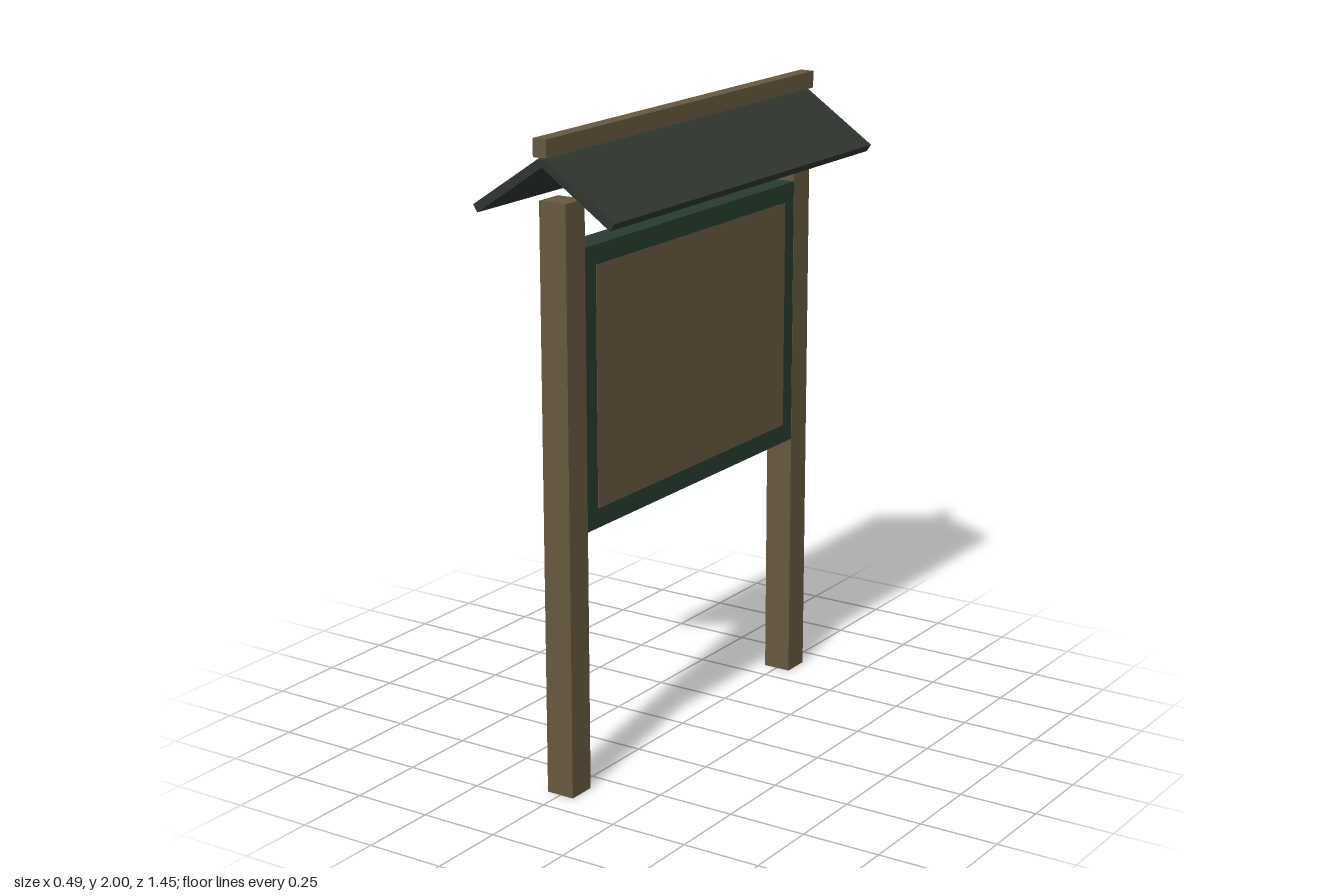
import * as THREE from 'three';

export function createModel() {
  const model = new THREE.Group();
  model.name = 'noticeBoard';

  const material = (name, color) => {
    const m = new THREE.MeshStandardMaterial({ color });
    m.name = name;
    return m;
  };
  const wood = material('brown wood', 0x67583f);
  const green = material('dark green paint', 0x253d30);
  const roofing = material('dark roofing', 0x2e3630);

  const add = (name, geometry, mat, x = 0, y = 0, z = 0) => {
    const mesh = new THREE.Mesh(geometry, mat);
    mesh.name = name;
    mesh.position.set(x, y, z);
    model.add(mesh);
  };

  // Two square posts, one at each end
  for (const [name, s] of [['frontPost', 1], ['backPost', -1]]) {
    add(name, new THREE.BoxGeometry(0.092, 1.81, 0.092), wood, 0, 0.905, s * 0.62);
  }

  // Board between the posts, with a pin panel on its +x face
  add('board', new THREE.BoxGeometry(0.09, 0.855, 1.15), green, 0, 1.24, 0);
  add('pinPanel', new THREE.BoxGeometry(0.004, 0.735, 1.04), wood, 0.0445, 1.24, 0);

  // Gabled roof: a chevron section run along z
  const section = new THREE.Shape([
    [0, 1.949], [-0.245, 1.785], [-0.23, 1.763],
    [0, 1.917], [0.23, 1.763], [0.245, 1.785],
  ].map(([x, y]) => new THREE.Vector2(x, y)));
  const roof = new THREE.ExtrudeGeometry(section, { depth: 1.426, bevelEnabled: false });
  roof.translate(0, 0, -0.713);
  add('roof', roof, roofing);

  // Ridge beam along the top
  add('ridgeBeam', new THREE.BoxGeometry(0.046, 0.054, 1.446), wood, 0, 1.973, 0);

  return model;
}
